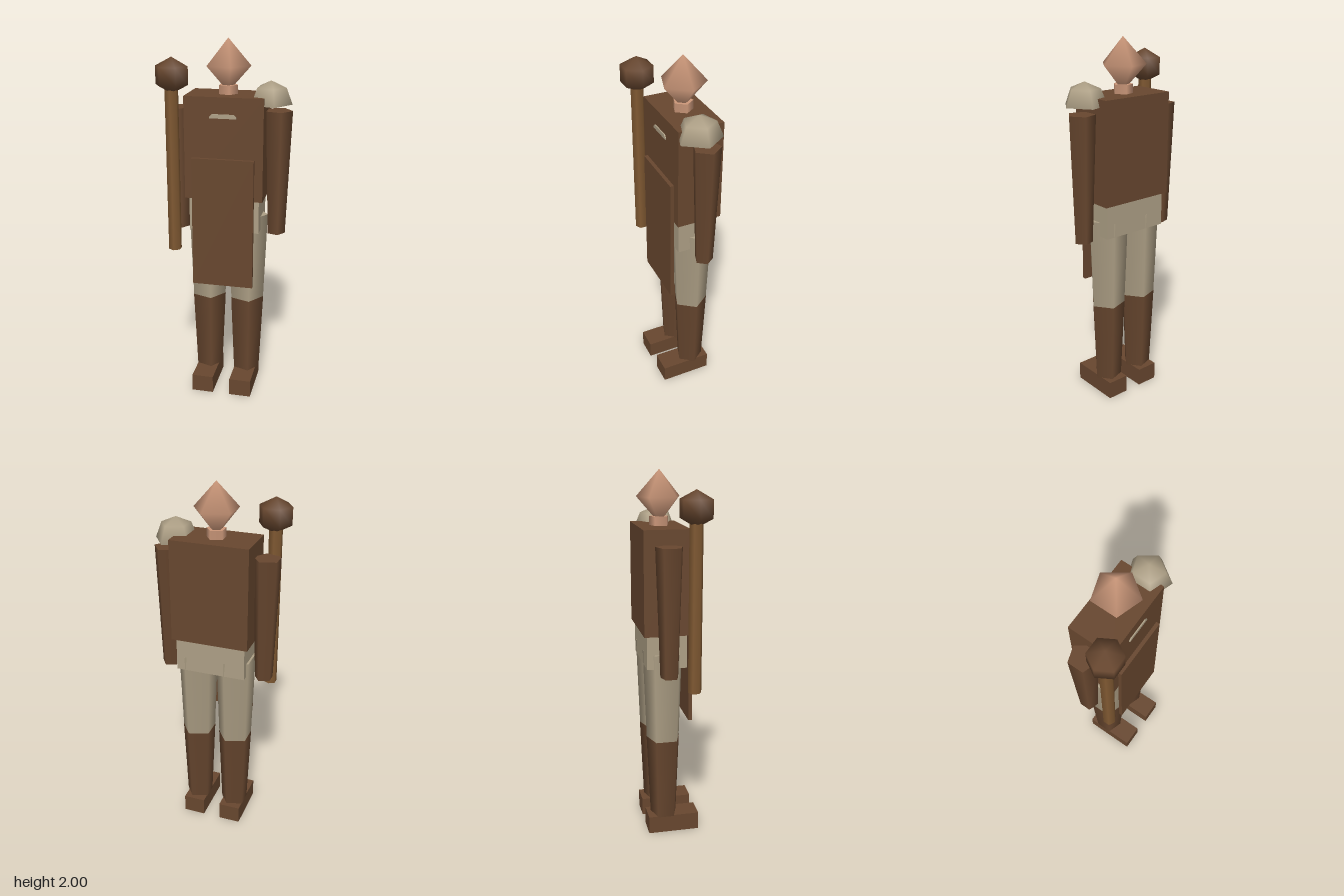
import * as THREE from 'three';

const material = (name, color, extra = {}) => {
  const m = new THREE.MeshStandardMaterial({ color, ...extra });
  m.name = name;
  return m;
};

export function createModel() {
  const root = new THREE.Group();
  root.name = 'staffBearer';
  const leather = material('leatherBrown', 0x68472f);
  const cloth = material('khakiCloth', 0xaea086);
  const plate = material('khakiPlate', 0xaea086, { side: THREE.DoubleSide });
  const skin = material('skin', 0xcc987a);
  const wood = material('staffWood', 0x805932);
  const cx = 0.004, cz = -0.045; // body axis

  const add = (name, geo, mat, x, y, z) => {
    const mesh = new THREE.Mesh(geo, mat);
    mesh.name = name;
    mesh.position.set(x, y, z);
    root.add(mesh);
    return mesh;
  };
  // box from its extents
  const box = (name, mat, x0, x1, y0, y1, z0, z1) =>
    add(name, new THREE.BoxGeometry(x1 - x0, y1 - y0, z1 - z0), mat,
      (x0 + x1) / 2, (y0 + y1) / 2, (z0 + z1) / 2);
  // five-sided tapered limb, one corner towards +x
  const limb = (name, mat, x, y0, y1, r0, r1) =>
    add(name, new THREE.CylinderGeometry(r1, r0, y1 - y0, 5).rotateY(Math.PI / 2),
      mat, x, (y0 + y1) / 2, cz);

  // trunk
  box('torso', leather, -0.207, 0.215, 1.165, 1.715, -0.167, 0.077);
  box('pelvis', cloth, -0.187, 0.195, 0.983, 1.165, -0.15, 0.064);
  box('apron', leather, -0.164, 0.171, 0.672, 1.393, 0.08, 0.1);

  // chest clasp
  const clasp = new THREE.Shape([[-0.071, -0.011], [0.071, -0.011], [0.071, -0.002],
    [0.058, 0.011], [-0.058, 0.011], [-0.071, -0.002]].map(p => new THREE.Vector2(...p)));
  add('clasp', new THREE.ExtrudeGeometry(clasp, { depth: 0.007, bevelEnabled: false }),
    cloth, 0.002, 1.617, 0.076);

  // head and neck
  limb('neck', skin, cx, 1.715, 1.762, 0.053, 0.053);
  add('head', new THREE.SphereGeometry(0.122, 5, 2).rotateY(Math.PI), skin, cx, 1.862, cz)
    .scale.y = 0.138 / 0.122;

  // arms, legs and feet
  for (const [side, s] of [['left', 1], ['right', -1]]) {
    limb(side + 'Arm', leather, cx + s * 0.27, 0.96, 1.637, 0.05, 0.074);
    const lx = cx + s * 0.11;
    limb(side + 'Thigh', cloth, lx, 0.56, 1.06, 0.096, 0.114);
    limb(side + 'Boot', leather, lx, 0.095, 0.56, 0.077, 0.097);
    box(side + 'Foot', leather, lx - 0.061, lx + 0.061, 0, 0.1, -0.142, 0.143);
  }

  // open shoulder plate on the left shoulder
  add('shoulderPlate', new THREE.SphereGeometry(0.12, 5, 2, 0, Math.PI * 2, 0, Math.PI / 2)
    .rotateY(Math.PI), plate, 0.234, 1.674, -0.023).scale.x = 0.945;

  // staff with round top
  add('staffShaft', new THREE.CylinderGeometry(0.036, 0.036, 0.9, 6), wood, -0.266, 1.32, 0.088);
  add('staffKnob', new THREE.SphereGeometry(0.1, 6, 3), leather, -0.263, 1.82, 0.088)
    .scale.y = 0.93;

  return root;
}
